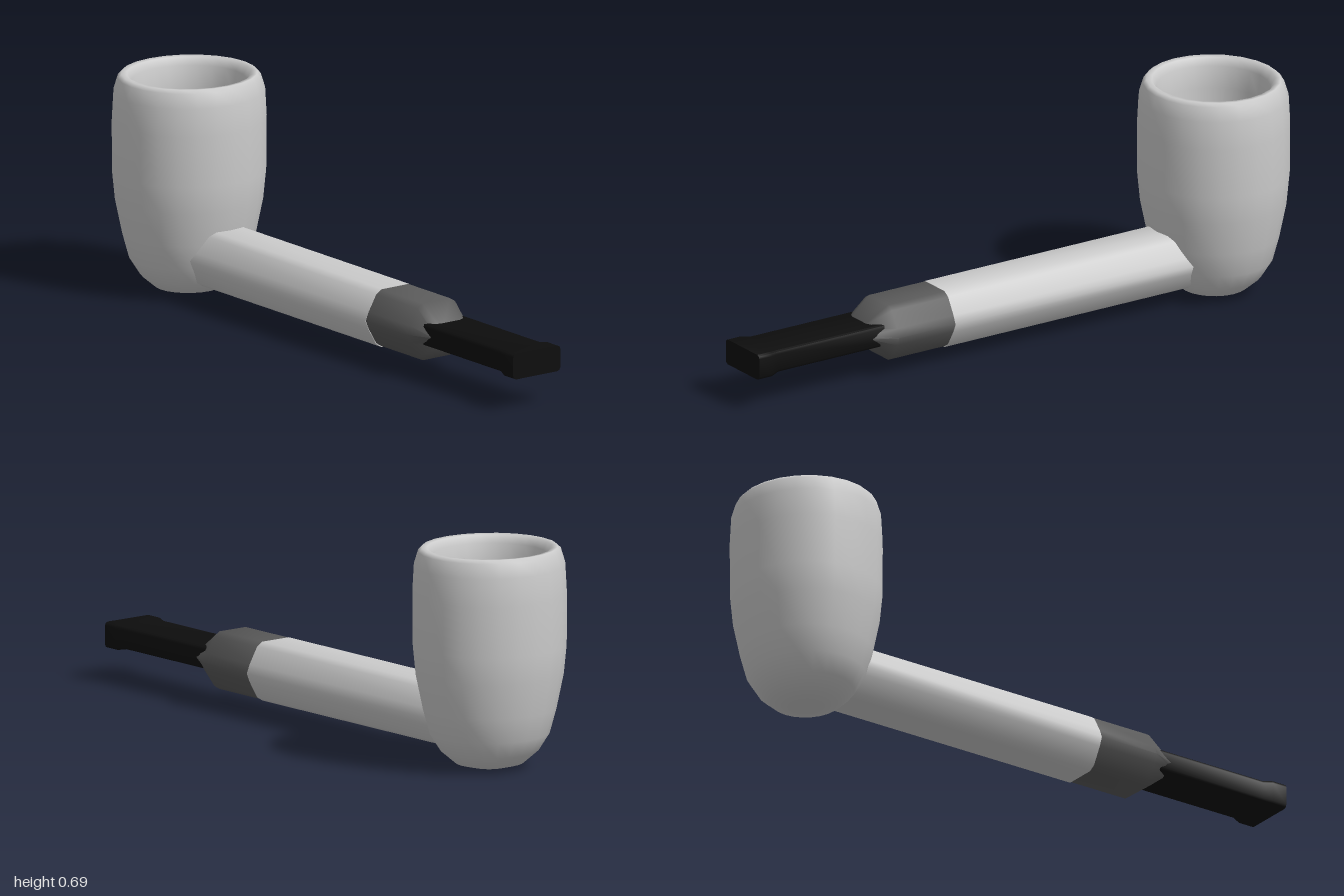
import * as THREE from 'three';
import { toCreasedNormals } from 'three/addons/utils/BufferGeometryUtils.js';

const grey = new THREE.MeshStandardMaterial({ color: 0xcccccc });
const darkGrey = new THREE.MeshStandardMaterial({ color: 0x5a5a5a });
const black = new THREE.MeshStandardMaterial({ color: 0x0d0d0d });

// Mirrors one quadrant, listed from the side to the top, into a closed ring.
function mirrorRing(quadrant) {
  const half = [...quadrant, ...quadrant.slice().reverse().map(([x, y]) => [-x, y])];
  const lower = half.slice().reverse().map(([x, y]) => [x, -y]);
  return [...half, ...lower].filter(([x, y], i, all) =>
    all.findIndex(([u, v]) => Math.abs(u - x) + Math.abs(v - y) < 1e-6) === i);
}

// Lofts a unit ring along z; each section is [z, centreY, scaleX, scaleY].
function loft(ring, sections, crease) {
  const n = ring.length;
  const positions = [];
  const index = [];
  for (const [z, cy, sx, sy] of sections) {
    for (const [x, y] of ring) positions.push(x * sx, cy + y * sy, z);
  }
  for (let s = 0; s < sections.length - 1; s++) {
    for (let j = 0; j < n; j++) {
      const a = s * n + j;
      const b = s * n + (j + 1) % n;
      index.push(a, b, b + n, a, b + n, a + n);
    }
  }
  const last = (sections.length - 1) * n;
  for (let j = 1; j < n - 1; j++) {
    index.push(0, j + 1, j, last, last + j, last + j + 1);
  }
  const geometry = new THREE.BufferGeometry();
  geometry.setAttribute('position', new THREE.Float32BufferAttribute(positions, 3));
  geometry.setIndex(index);
  return toCreasedNormals(geometry, crease);
}

function addPart(group, name, geometry, material) {
  const mesh = new THREE.Mesh(geometry, material);
  mesh.name = name;
  group.add(mesh);
  return mesh;
}

export function createModel() {
  const pipe = new THREE.Group();
  pipe.name = 'pipe';

  // Hollow bowl: outer wall, rounded rim, chamber wall and shallow floor
  const profile = [
    [0, 0.002], [0.06, 0.004], [0.11, 0.017], [0.155, 0.055], [0.19, 0.11],
    [0.212, 0.19], [0.235, 0.3], [0.244, 0.39], [0.245, 0.55], [0.24, 0.64],
    [0.226, 0.685], [0.215, 0.696], [0.197, 0.694], [0.182, 0.67], [0.173, 0.6],
    [0.166, 0.35], [0.158, 0.25], [0.13, 0.21], [0.08, 0.192], [0, 0.185],
  ].map(([r, y]) => new THREE.Vector2(r, y));
  const bowl = addPart(pipe, 'bowl', new THREE.LatheGeometry(profile, 24), grey);
  bowl.scale.z = 0.96;
  bowl.position.z = -0.765;

  // Rounded hexagonal shank running into the chamber
  const hexRing = mirrorRing([[1, 0], [0.9, 0.3], [0.64, 0.86], [0.46, 1]]);
  addPart(pipe, 'shank', loft(hexRing, [
    [-0.74, 0.142, 0.115, 0.093],
    [0.28, 0.142, 0.115, 0.093],
  ], 1.1), grey);

  // Dark collar tapering down onto the mouthpiece
  addPart(pipe, 'collar', loft(hexRing, [
    [0.28, 0.143, 0.114, 0.091],
    [0.49, 0.143, 0.114, 0.091],
    [0.575, 0.145, 0.078, 0.03],
  ], 1.1), darkGrey);

  // Flat mouthpiece with a flared lip
  const flatRing = mirrorRing([[1, 0.72], [0.96, 0.92], [0.88, 1]]);
  addPart(pipe, 'mouthpiece', loft(flatRing, [
    [0.48, 0.147, 0.081, 0.036],
    [0.92, 0.147, 0.081, 0.036],
    [0.95, 0.146, 0.092, 0.041],
    [1, 0.146, 0.092, 0.041],
  ], 0.9), black);

  return pipe;
}
